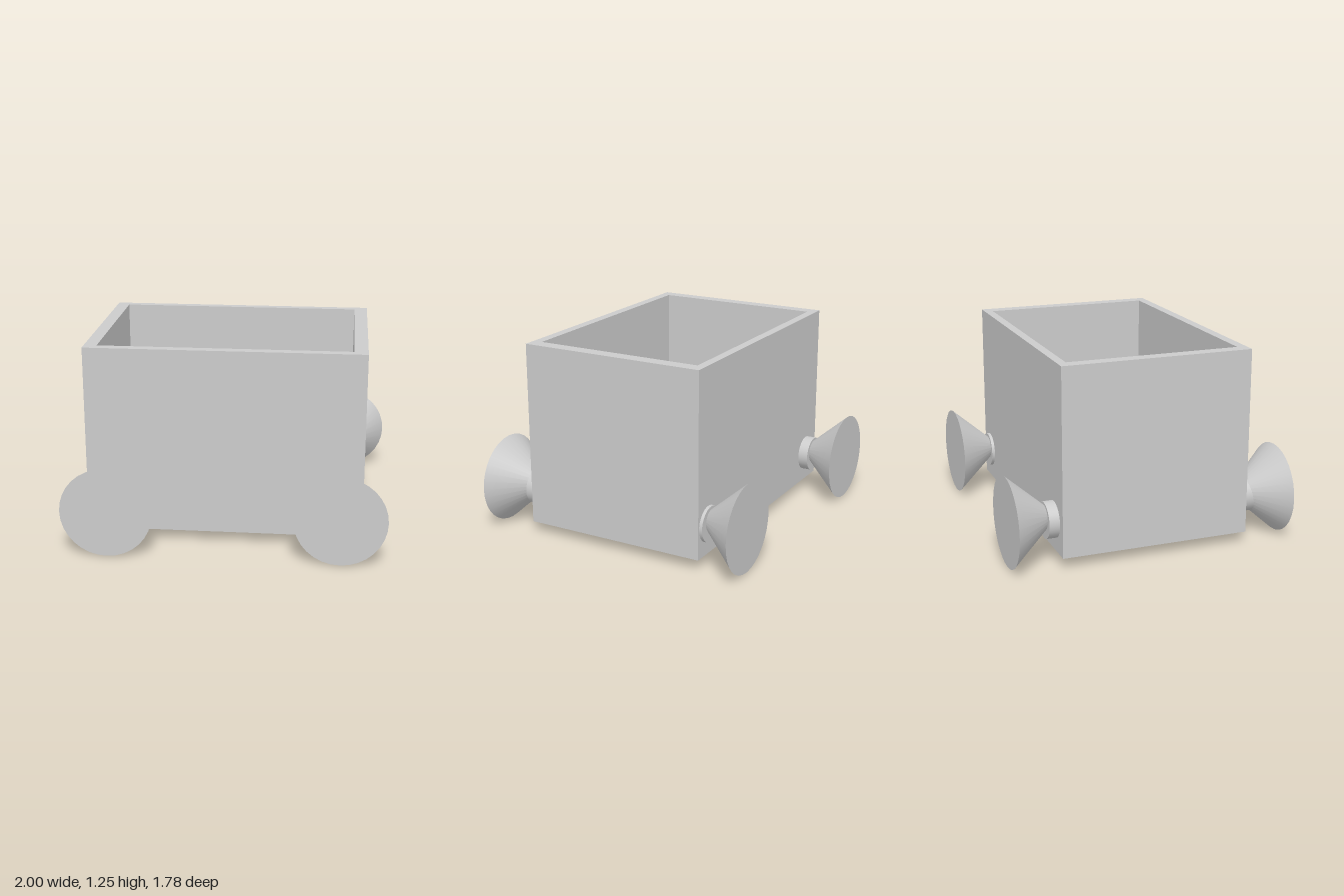
import * as THREE from 'three';

const material = new THREE.MeshStandardMaterial({ color: 0xcccccc });

function addMesh(parent, name, geometry, x, y, z) {
  const mesh = new THREE.Mesh(geometry, material);
  mesh.name = name;
  mesh.position.set(x, y, z);
  parent.add(mesh);
  return mesh;
}

// Rectangle outline in plan; shape y becomes -z once the walls stand upright
function rectangle(PathType, x0, x1, z0, z1) {
  return new PathType([
    new THREE.Vector2(x0, -z1), new THREE.Vector2(x1, -z1),
    new THREE.Vector2(x1, -z0), new THREE.Vector2(x0, -z0),
  ]);
}

export function createModel() {
  const model = new THREE.Group();
  model.name = 'cart';

  // Open-topped box: a solid floor slab carrying a hollow wall ring
  const bottom = 0.07, floorTop = 0.14, top = 1.25;
  const box = new THREE.Group();
  box.name = 'box';
  model.add(box);
  const slab = (name, depth, y, hollow) => {
    const shape = rectangle(THREE.Shape, -0.88, 0.85, -0.59, 0.62);
    if (hollow) shape.holes.push(rectangle(THREE.Path, -0.8, 0.765, -0.535, 0.56));
    const geometry = new THREE.ExtrudeGeometry(shape, { depth, bevelEnabled: false });
    geometry.rotateX(-Math.PI / 2);
    addMesh(box, name, geometry, 0, y, 0);
  };
  slab('floor', floorTop - bottom, bottom, false);
  slab('walls', top - floorTop, floorTop, true);

  // Axles run through the box; each end carries a cone with its tip inward
  const axles = [
    { side: 'right', x: -0.715, wheelX: -0.715, back: -0.655, front: 0.72, wheelBack: -0.89 },
    { side: 'left', x: 0.725, wheelX: 0.715, back: -0.61, front: 0.675, wheelBack: -0.85 },
  ];
  const wheelRadius = 0.285, wheelDepth = 0.325, wheelFront = 0.89;
  for (const a of axles) {
    const axle = new THREE.CylinderGeometry(0.114, 0.114, a.front - a.back, 32);
    axle.rotateX(Math.PI / 2);
    addMesh(model, a.side + 'Axle', axle, a.x, 0.265, (a.front + a.back) / 2);

    for (const [end, z, dir] of [['Front', wheelFront, 1], ['Back', a.wheelBack, -1]]) {
      const cone = new THREE.ConeGeometry(wheelRadius, wheelDepth, 32);
      cone.rotateX(-dir * Math.PI / 2);
      addMesh(model, a.side + end + 'Wheel', cone, a.wheelX, wheelRadius, z - dir * wheelDepth / 2);
    }
  }
  return model;
}
